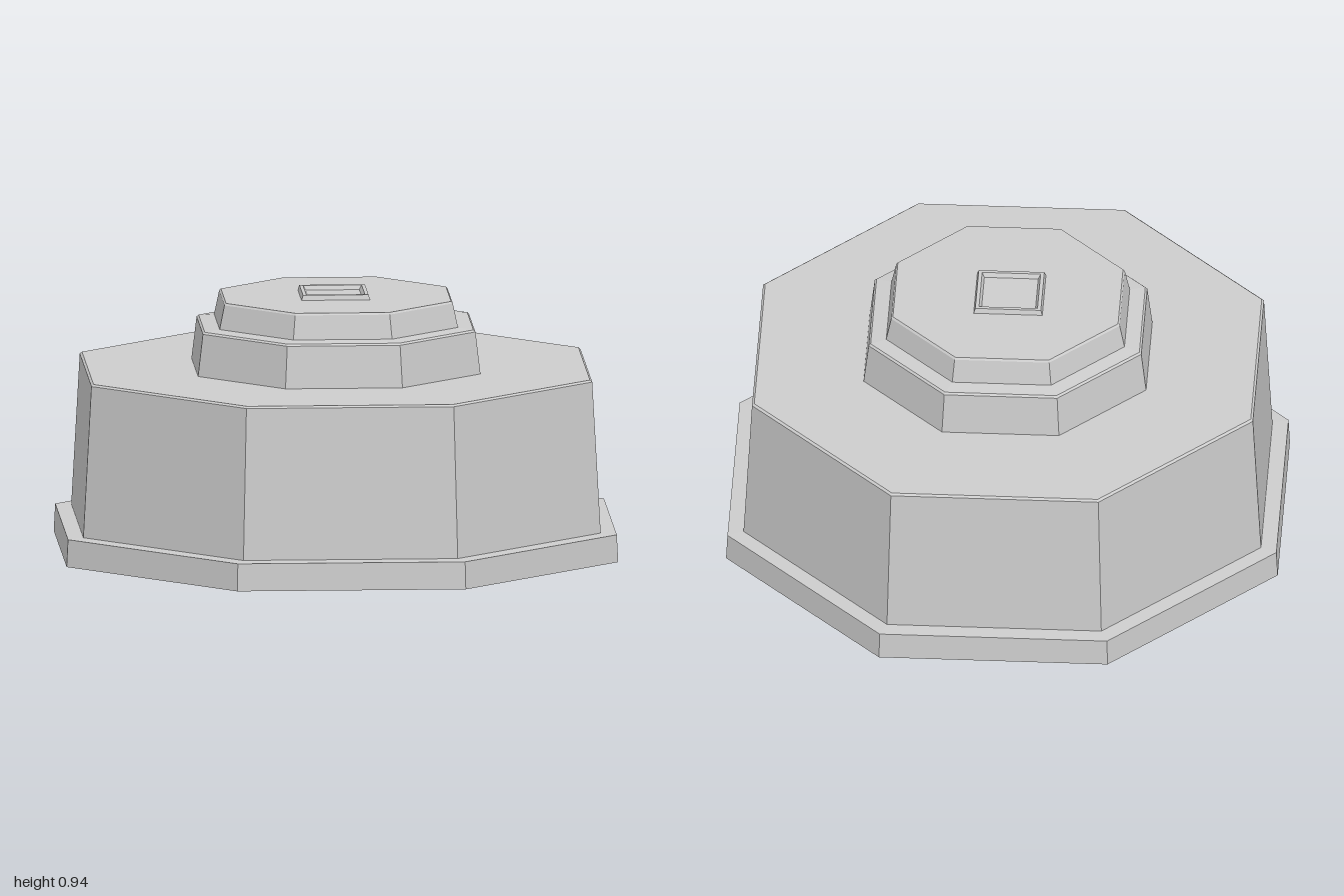
import * as THREE from 'three';

export function createModel() {
  const group = new THREE.Group();
  const grey = new THREE.MeshStandardMaterial({ color: 0xcccccc, side: THREE.DoubleSide });
  grey.name = 'plain grey';

  // Faceted ring from a [radius, height] profile running bottom to top
  function addRing(name, profile, sides, startAngle, scale) {
    const points = profile.map(([r, y]) => new THREE.Vector2(r * scale, y));
    const geometry = new THREE.LatheGeometry(points, sides, startAngle).toNonIndexed();
    geometry.computeVertexNormals();
    const mesh = new THREE.Mesh(geometry, grey);
    mesh.name = name;
    group.add(mesh);
    return mesh;
  }

  // Octagonal tiers, measured to the flat sides; hollow and open below
  const tiers = {
    baseSkirt: [[1, 0], [0.995, 0.1], [0.938, 0.103]],
    mainBody: [[0.938, 0.103], [0.908, 0.655], [0.9, 0.662], [0.512, 0.662]],
    lowerStep: [[0.512, 0.662], [0.494, 0.815], [0.487, 0.822], [0.432, 0.828]],
    upperStep: [[0.432, 0.828], [0.414, 0.915], [0.408, 0.922], [0, 0.922]],
  };
  for (const [name, profile] of Object.entries(tiers)) {
    addRing(name, profile, 8, Math.PI / 8, 1 / Math.cos(Math.PI / 8));
  }

  // Raised square frame on top, turned corner-forward
  const frame = addRing('topFrame',
    [[0.176, 0.922], [0.168, 0.94], [0.15, 0.94], [0.138, 0.924], [0, 0.924]], 4, 0, 1);
  frame.position.z = -0.01;

  return group;
}
